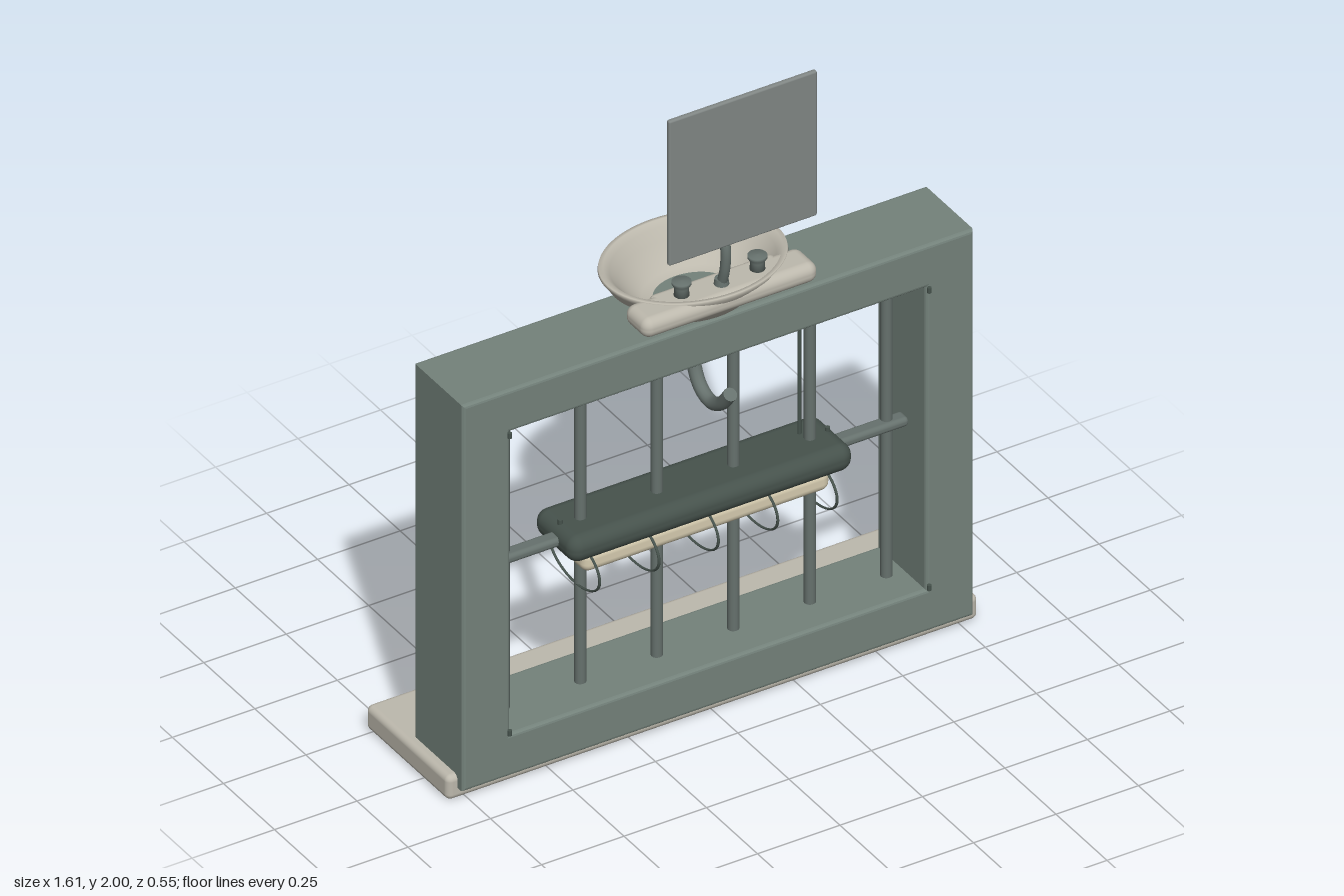
import * as THREE from 'three';
import { RoundedBoxGeometry } from 'three/addons/geometries/RoundedBoxGeometry.js';

const mat = (color) => new THREE.MeshStandardMaterial({ color });

export function createModel() {
  const group = new THREE.Group();
  const green = mat(0x74827b), stone = mat(0xbdb9ad), metal = mat(0x66716d);
  const dark = mat(0x46524c), cream = mat(0xd6ccb0), glass = mat(0x808684);
  const ceramic = mat(0xbdb9ad);
  ceramic.side = THREE.DoubleSide;

  const add = (name, geometry, material, x = 0, y = 0, z = 0) => {
    const mesh = new THREE.Mesh(geometry, material);
    mesh.name = name;
    mesh.position.set(x, y, z);
    group.add(mesh);
    return mesh;
  };
  const slab = (w, h, d, r) => new RoundedBoxGeometry(w, h, d, 4, r);
  const rod = (r, h) => new THREE.CylinderGeometry(r, r, h, 16);
  const pipe = (points, r) => new THREE.TubeGeometry(
    new THREE.CatmullRomCurve3(points.map(([y, z]) => new THREE.Vector3(0, y, z))), 40, r, 14);
  const rect = (path, w, y0, y1) => path.moveTo(-w, y0).lineTo(w, y0).lineTo(w, y1).lineTo(-w, y1).closePath();

  // Floor plinth
  add('plinth', slab(1.61, 0.075, 0.405, 0.018), stone, 0, 0.0425, -0.0725);

  // Open rectangular frame
  const outline = rect(new THREE.Shape(), 0.775, 0.04, 1.24);
  outline.holes.push(rect(new THREE.Path(), 0.63, 0.17, 1.11));
  add('frame', new THREE.ExtrudeGeometry(outline, {
    depth: 0.22, bevelThickness: 0.01, bevelSize: 0.01, bevelOffset: -0.01, bevelSegments: 3,
  }), green, 0, 0, -0.075);

  // Vertical bars and horizontal rail
  for (let i = 0; i < 6; i++) add('verticalBar', rod(0.016, 0.96), metal, -0.58 + i * 0.232, 0.64, 0.04);
  add('rail', slab(1.27, 0.028, 0.045, 0.012), metal, 0, 0.642, 0.045);

  // Tray with the pad below it
  add('tray', slab(0.86, 0.08, 0.2, 0.036), dark, 0, 0.64, 0.035);
  add('trayPad', slab(0.75, 0.065, 0.14, 0.025), cream, 0, 0.575, 0.035);

  // Towel loops hanging under the tray
  const loop = new THREE.TorusGeometry(0.123, 0.004, 8, 40);
  loop.rotateY(Math.PI / 2).scale(1, 0.57, 1);
  for (let i = -2; i <= 2; i++) add('towelLoop', loop, dark, i * 0.18, 0.548, 0.032);

  // Hanging wires, tray studs and corner pins
  for (const s of [-1, 1]) {
    add('hangingWire', rod(0.005, 0.44), dark, s * 0.335, 0.89, 0.01);
    add('trayStud', rod(0.007, 0.02), dark, s * 0.405, 0.68, 0.035);
    for (const y of [0.18, 1.105]) add('cornerPin', rod(0.006, 0.016), dark, s * 0.636, y, 0.16);
  }

  // Oval basin, open at the drain
  const profile = [[0.11, 1.25], [0.13, 1.24], [0.16, 1.246], [0.185, 1.27], [0.205, 1.29], [0.235, 1.315],
    [0.25, 1.34], [0.26, 1.352], [0.258, 1.36], [0.245, 1.36], [0.228, 1.345], [0.205, 1.315],
    [0.17, 1.275], [0.14, 1.256], [0.11, 1.25]];
  const basin = add('basin', new THREE.LatheGeometry(
    profile.map(([x, y]) => new THREE.Vector2(x, y)), 64), ceramic, 0, 0, 0.03);
  basin.scale.z = 0.79;

  // Tap ledge
  add('tapLedge', slab(0.53, 0.06, 0.11, 0.027), stone, 0, 1.327, 0.17);
  add('tapDeck', slab(0.38, 0.04, 0.08, 0.018), stone, 0, 1.337, 0.15);

  // Swan-neck tap and flared handles
  add('tap', pipe([[1.34, 0.165], [1.42, 0.188], [1.49, 0.187], [1.545, 0.15], [1.56, 0.095],
    [1.55, 0.045], [1.52, 0.02], [1.485, 0.026]], 0.014), metal);
  add('tapFoot', new THREE.CylinderGeometry(0.018, 0.022, 0.03, 20), metal, 0, 1.36, 0.17);
  const handle = new THREE.LatheGeometry([[0, 0], [0.021, 0], [0.019, 0.03], [0.026, 0.042],
    [0.026, 0.05], [0, 0.052]].map(([x, y]) => new THREE.Vector2(x, y)), 24);
  for (const s of [-1, 1]) add('tapHandle', handle, metal, s * 0.115, 1.35, 0.16);

  // Curved drain pipe with closed end
  add('drainPipe', pipe([[1.13, 0.03], [1.03, 0.035], [0.975, 0.07], [0.96, 0.12],
    [0.985, 0.17], [1.035, 0.212]], 0.019), metal);
  const cap = add('drainEnd', rod(0.019, 0.006), metal, 0, 1.034, 0.211);
  cap.rotation.x = 0.7;

  // Floating mirror
  add('mirror', slab(0.45, 0.45, 0.015, 0.006), glass, 0, 1.775, 0.27);
  return group;
}
